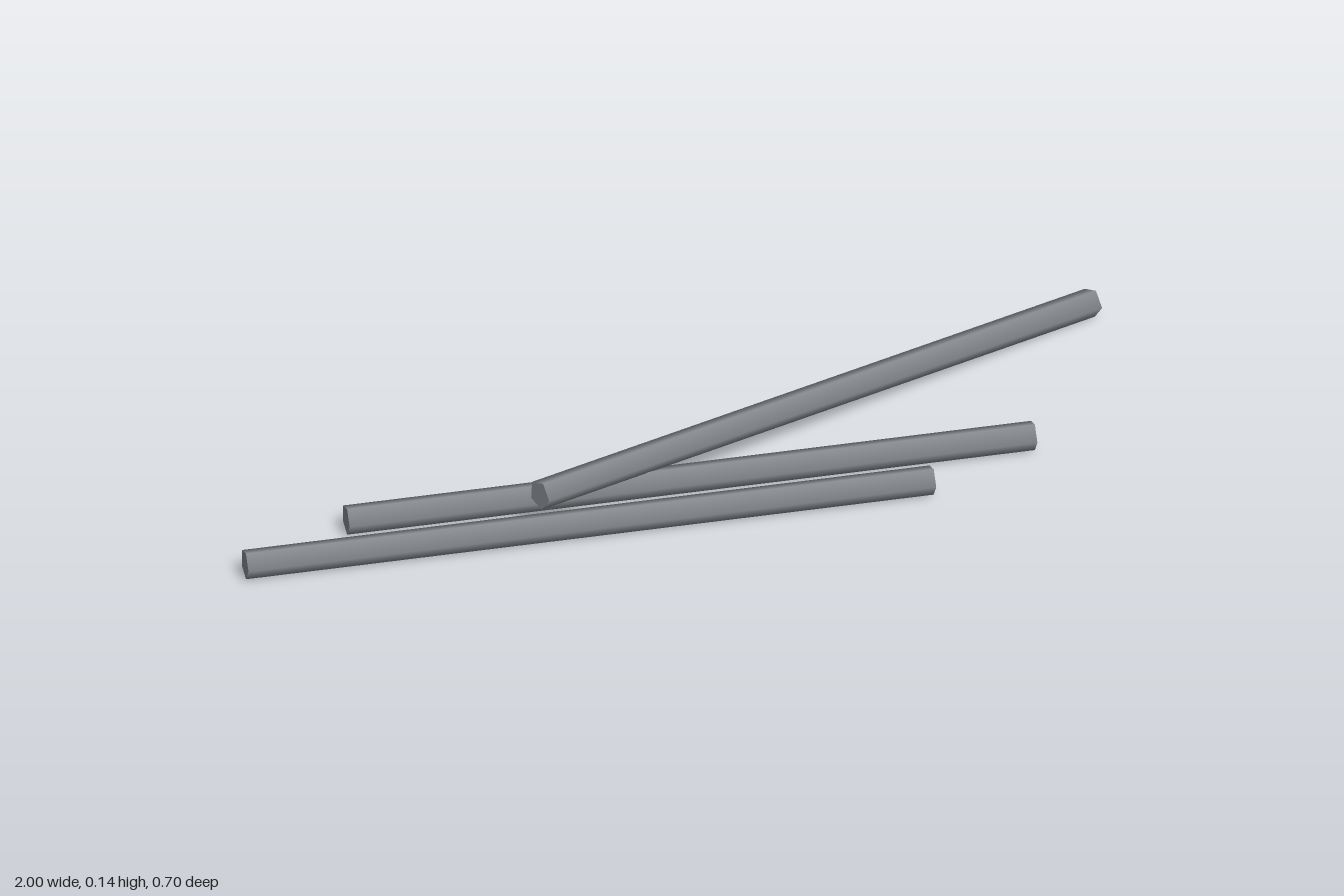
import * as THREE from 'three';

const RADIUS = 0.0315;

export function createModel() {
  const group = new THREE.Group();
  const metal = new THREE.MeshStandardMaterial({ color: 0x84888d });
  metal.name = 'grey metal';

  // Five-sided rod between two centre points, one ridge turned sideways to +z
  function addRod(name, start, end) {
    const a = new THREE.Vector3(...start);
    const b = new THREE.Vector3(...end);
    const axis = b.clone().sub(a);
    const length = axis.length();
    axis.normalize();
    const ridge = new THREE.Vector3(-axis.z, 0, axis.x).normalize();
    const side = new THREE.Vector3().crossVectors(axis, ridge);
    const rod = new THREE.Mesh(new THREE.CylinderGeometry(RADIUS, RADIUS, length, 5), metal);
    rod.name = name;
    rod.quaternion.setFromRotationMatrix(new THREE.Matrix4().makeBasis(side, axis, ridge));
    rod.position.copy(a).add(b).multiplyScalar(0.5);
    group.add(rod);
  }

  // Two parallel rods on the ground, a third leaning across them
  addRod('leftGroundRod', [-0.716, 0.038, -0.329], [0.558, 0.038, 0.325]);
  addRod('rightGroundRod', [-0.986, 0.038, -0.329], [0.288, 0.038, 0.325]);
  addRod('leaningRod', [-0.435, 0.111, -0.055], [0.997, 0.032, -0.004]);

  return group;
}
